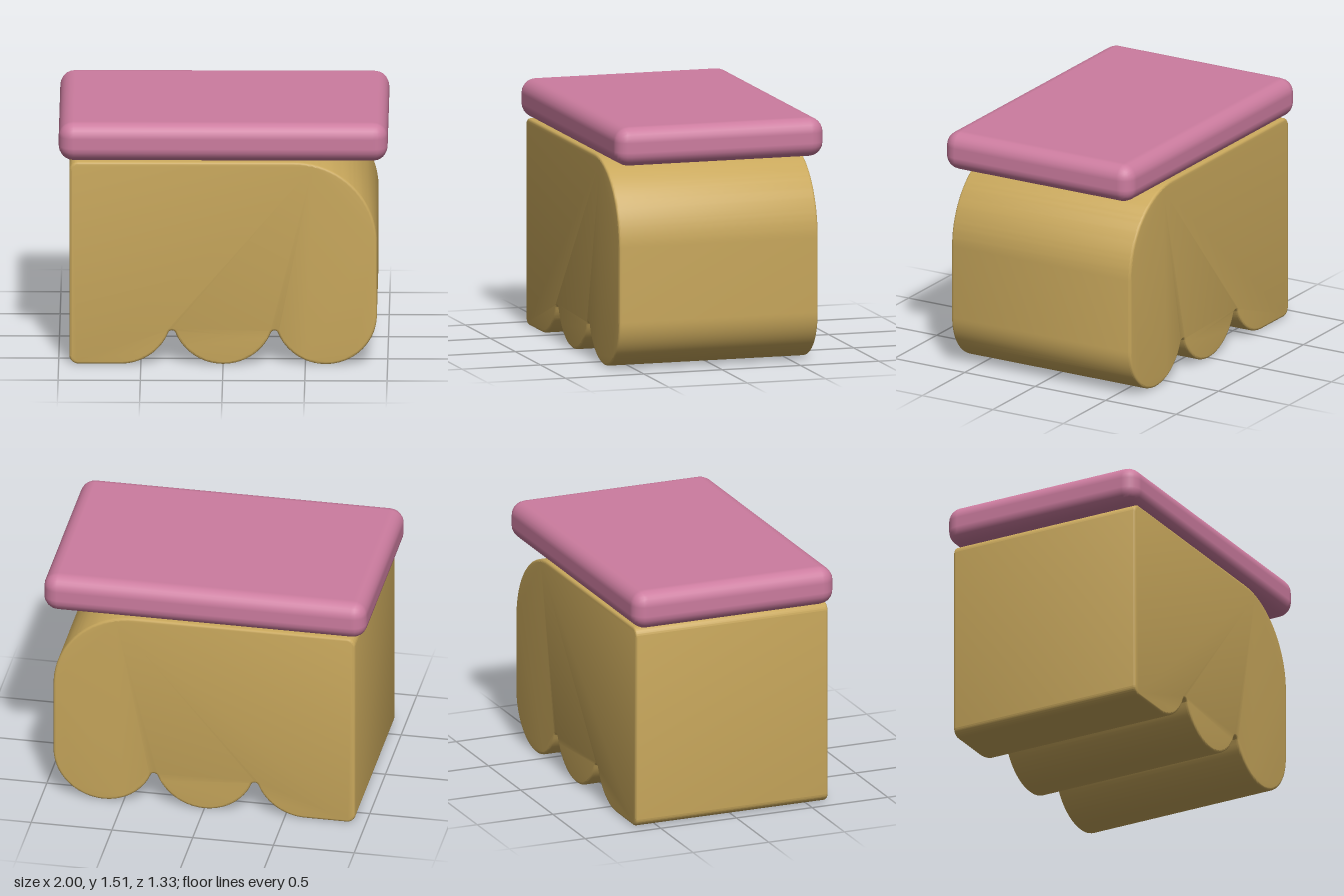
import * as THREE from 'three';
import { toCreasedNormals } from 'three/addons/utils/BufferGeometryUtils.js';
import { RoundedBoxGeometry } from 'three/addons/geometries/RoundedBoxGeometry.js';

const tan = new THREE.MeshStandardMaterial({ color: 0xc9a85c });
tan.name = 'tan';
const pink = new THREE.MeshStandardMaterial({ color: 0xcc7c9f });
pink.name = 'pink';

// Side outline: square back, large rounded shoulder, three scallops below
function bodyShape() {
  const w = 0.935, top = 1.275, corner = 0.055, shoulder = 0.505;
  const r = w / 3, fillet = 0.024;
  const dy = Math.sqrt((r + fillet) ** 2 - r ** 2);
  const a = Math.atan2(dy, r); // where scallop and groove fillet meet
  const s = new THREE.Shape();
  s.moveTo(-w, corner);
  s.absarc(-w + corner, corner, corner, Math.PI, Math.PI * 1.5, false);
  for (let i = -1; i <= 1; i++) {
    const cx = i * 2 * r;
    const start = i === -1 ? -Math.PI / 2 : -Math.PI + a;
    s.absarc(cx, r, r, start, i === 1 ? 0 : -a, false);
    if (i < 1) s.absarc(cx + r, r - dy, fillet, Math.PI - a, a, true);
  }
  s.absarc(w - shoulder, top - shoulder, shoulder, 0, Math.PI / 2, false);
  s.absarc(-w + corner, top - corner, corner, Math.PI / 2, Math.PI, false);
  s.closePath();
  return s;
}

export function createModel() {
  const group = new THREE.Group();
  group.name = 'scallopedBlockWithSlab';

  // Body with softly bevelled front and back edges
  const depth = 1.27, bevel = 0.015;
  const bodyGeo = new THREE.ExtrudeGeometry(bodyShape(), {
    depth: depth - 2 * bevel, curveSegments: 20,
    bevelEnabled: true, bevelThickness: bevel, bevelSize: bevel,
    bevelOffset: -bevel, bevelSegments: 3,
  });
  bodyGeo.translate(0, 0, -depth / 2 + bevel);
  const body = new THREE.Mesh(toCreasedNormals(bodyGeo, 0.6), tan);
  body.name = 'body';
  group.add(body);

  // Rounded slab on top
  const slab = new THREE.Mesh(new RoundedBoxGeometry(2, 0.24, 1.33, 3, 0.09), pink);
  slab.name = 'topSlab';
  slab.position.y = 1.395;
  group.add(slab);

  return group;
}
